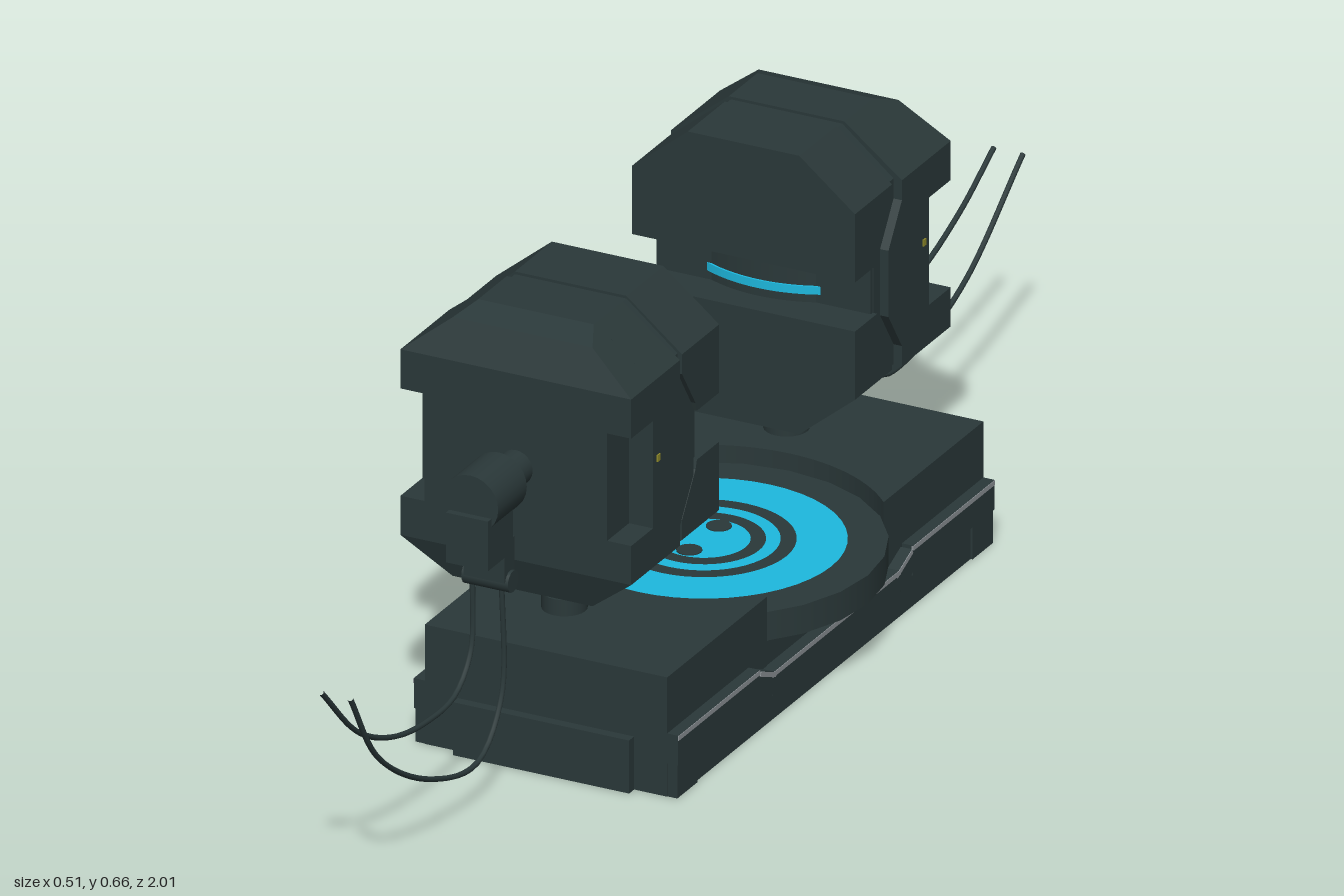
import * as THREE from 'three';

const dark = new THREE.MeshStandardMaterial({ color: 0x2a3839 });
dark.name = 'dark slate';
const teal = new THREE.MeshStandardMaterial({ color: 0x1db8de });
teal.name = 'glowing teal';
const grey = new THREE.MeshStandardMaterial({ color: 0x8c9296 });
grey.name = 'trim grey';
const yellow = new THREE.MeshStandardMaterial({ color: 0x8f8a2a });
yellow.name = 'marker yellow';

function add(parent, name, geometry, material = dark, x = 0, y = 0, z = 0) {
  const mesh = new THREE.Mesh(geometry, material);
  mesh.name = name;
  mesh.position.set(x, y, z);
  parent.add(mesh);
  return mesh;
}

const box = (w, h, d) => new THREE.BoxGeometry(w, h, d);
const cyl = (top, bottom, h, sides = 24) => new THREE.CylinderGeometry(top, bottom, h, sides);
// Shallow curved wedge bulging towards -z
const bulge = (r, h) => new THREE.CylinderGeometry(r, r, h, 24, 1, false, Math.PI - 0.55, 1.1);

// Stacks rectangles [y, halfWidth, zBack, zFront]; the upper half is mirrored below y = 0
function loft(half) {
  const rows = [...half.map(([y, ...r]) => [-y, ...r]).reverse(), ...half];
  const rings = rows.map(([y, w, a, b]) => [[-w, y, b], [w, y, b], [w, y, a], [-w, y, a]]);
  const pos = [];
  const quad = (a, b, c, d) => pos.push(...a, ...b, ...c, ...a, ...c, ...d);
  for (let i = 0; i < rings.length - 1; i++) {
    const p = rings[i], q = rings[i + 1];
    for (let k = 0; k < 4; k++) {
      const n = (k + 1) % 4;
      quad(p[k], p[n], q[n], q[k]);
    }
  }
  quad(...rings[rings.length - 1]);
  quad(...[...rings[0]].reverse());
  const g = new THREE.BufferGeometry();
  g.setAttribute('position', new THREE.Float32BufferAttribute(pos, 3));
  g.computeVertexNormals();
  return g;
}

function cable(parent, x, points) {
  const curve = new THREE.CatmullRomCurve3(points.map(([z, y]) => new THREE.Vector3(x, y, z)));
  add(parent, 'cable', new THREE.TubeGeometry(curve, 40, 0.004, 8));
}

// One magnet-like head on its post, facing the centre, with connector and cables
function createHead(cables) {
  const g = new THREE.Group();
  const cy = 0.45;
  add(g, 'outerShell', loft([
    [0.05, 0.178, 0.29, 0.41], [0.11, 0.178, 0.33, 0.41],
    [0.14, 0.178, 0.33, 0.41], [0.21, 0.089, 0.33, 0.41],
  ]), dark, 0, cy);
  add(g, 'outerCap', loft([
    [0.081, 0.141, 0.41, 0.475], [0.081, 0.178, 0.41, 0.475],
    [0.14, 0.178, 0.41, 0.475], [0.195, 0.108, 0.41, 0.455], [0.21, 0.089, 0.41, 0.415],
  ]), dark, 0, cy);
  add(g, 'seamCore', loft([[0.14, 0.165, 0.27, 0.35], [0.206, 0.086, 0.27, 0.35]]), dark, 0, cy);
  add(g, 'innerShell', loft([
    [0.037, 0.165, 0.262, 0.268], [0.037, 0.172, 0.202, 0.268], [0.05, 0.172, 0.202, 0.272],
    [0.11, 0.172, 0.202, 0.312], [0.14, 0.172, 0.202, 0.312], [0.21, 0.086, 0.202, 0.312],
  ]), dark, 0, cy);

  // Rounded core showing in the slit, with a thin lit band
  add(g, 'slitCore', bulge(0.2, 0.074), dark, 0, cy, 0.445);
  add(g, 'slitLight', bulge(0.203, 0.012), teal, 0, cy - 0.018, 0.445);
  for (const s of [-1, 1])
    add(g, 'sideMarker', box(0.004, 0.01, 0.008), yellow, s * 0.178, 0.47, 0.395);

  // Post
  add(g, 'post', cyl(0.027, 0.027, 0.12), dark, 0, 0.21, 0.33);
  add(g, 'postCollar', cyl(0.032, 0.032, 0.025), dark, 0, 0.192, 0.33);

  // Cable connector
  const connector = [[0.026, 0.026, 0.05, 0.49], [0.043, 0.028, 0.02, 0.515], [0.043, 0.043, 0.085, 0.5675]];
  for (const [front, back, length, z] of connector)
    add(g, 'connector', cyl(front, back, length), dark, 0, cy, z).rotation.x = Math.PI / 2;
  add(g, 'bracket', box(0.065, 0.075, 0.075), dark, 0, 0.397, 0.583);
  add(g, 'bracketStem', box(0.063, 0.06, 0.03), dark, 0, 0.35, 0.555);
  add(g, 'cableClamp', cyl(0.016, 0.016, 0.072, 16), dark, 0, 0.317, 0.552).rotation.z = Math.PI / 2;
  for (const [x, points] of cables) cable(g, x, points);
  return g;
}

// A length of side rail with a fine trim line along its upper outer edge
function rail(parent, side, y, z, height, length, tilt = 0) {
  const g = new THREE.Group();
  g.name = 'sideRail';
  add(g, 'railBar', box(0.02, height, length));
  add(g, 'railTrim', box(0.003, 0.007, length), grey, side * 0.0095, height / 2 - 0.004);
  g.position.set(side * 0.194, y, z);
  g.rotation.x = tilt;
  parent.add(g);
}

function createBase() {
  const g = new THREE.Group();
  g.name = 'base';
  add(g, 'body', box(0.372, 0.11, 0.5), dark, 0, 0.057);

  // Tall end blocks with a round cut for the disc
  const r = 0.255, a = Math.acos(0.187 / r);
  const shape = new THREE.Shape();
  shape.moveTo(-0.187, 0.47);
  shape.lineTo(0.187, 0.47);
  shape.lineTo(0.187, r * Math.sin(a));
  shape.absarc(0, 0, r, a, Math.PI - a, false);
  shape.closePath();
  for (const turn of [0, Math.PI]) {
    const end = new THREE.ExtrudeGeometry(shape, { depth: 0.18, bevelEnabled: false, curveSegments: 16 });
    end.rotateX(-Math.PI / 2).rotateY(turn);
    add(g, 'endBlock', end);
  }

  for (const s of [-1, 1]) {
    add(g, 'endPanel', box(0.272, 0.08, 0.02), dark, 0, 0.04, s * 0.475);
    add(g, 'sideSkirt', box(0.014, 0.07, 0.93), dark, s * 0.192, 0.035);
    // Side rail that dips below the disc
    rail(g, s, 0.058, 0, 0.035, 0.38);
    for (const e of [-1, 1]) {
      rail(g, s, 0.073, e * 0.349, 0.045, 0.242);
      rail(g, s, 0.066, e * 0.208, 0.035, 0.05, -e * 0.4);
      add(g, 'foot', box(0.03, 0.095, 0.06), dark, s * 0.187, 0.0475, e * 0.439);
    }
  }

  // Round platform with concentric lit rings
  add(g, 'disc', cyl(0.253, 0.253, 0.043, 24), dark, 0, 0.1335);
  for (const [inner, outer] of [[0.127, 0.197], [0.085, 0.105], [0, 0.064]]) {
    const ring = new THREE.RingGeometry(inner, outer, 48).rotateX(-Math.PI / 2);
    add(g, 'lightRing', ring, teal, 0, 0.157);
  }
  for (const s of [-1, 1])
    add(g, 'centreMark', cyl(0.018, 0.018, 0.003, 16), dark, 0, 0.157, s * 0.044);
  return g;
}

export function createModel() {
  const model = new THREE.Group();
  model.add(createBase());

  const high = [[0.55, 0.32], [0.555, 0.2], [0.6, 0.153], [0.69, 0.147], [0.786, 0.165], [0.89, 0.215], [1, 0.32]];
  const low = [[0.55, 0.32], [0.55, 0.14], [0.615, 0.07], [0.76, 0.1], [0.92, 0.2], [1, 0.32]];
  const backHigh = [[0.55, 0.32], [0.553, 0.225], [0.6, 0.203], [0.77, 0.22], [0.9, 0.265], [1, 0.32]];
  const backLow = [[0.55, 0.32], [0.545, 0.215], [0.58, 0.16], [0.68, 0.155], [0.83, 0.2], [1, 0.32]];

  const front = createHead([[-0.028, high], [0.017, low]]);
  front.name = 'frontHead';
  front.position.x = -0.044;
  const back = createHead([[0.028, backHigh], [-0.017, backLow]]);
  back.name = 'backHead';
  back.position.x = -0.044;
  back.rotation.y = Math.PI;
  model.add(front, back);
  return model;
}
